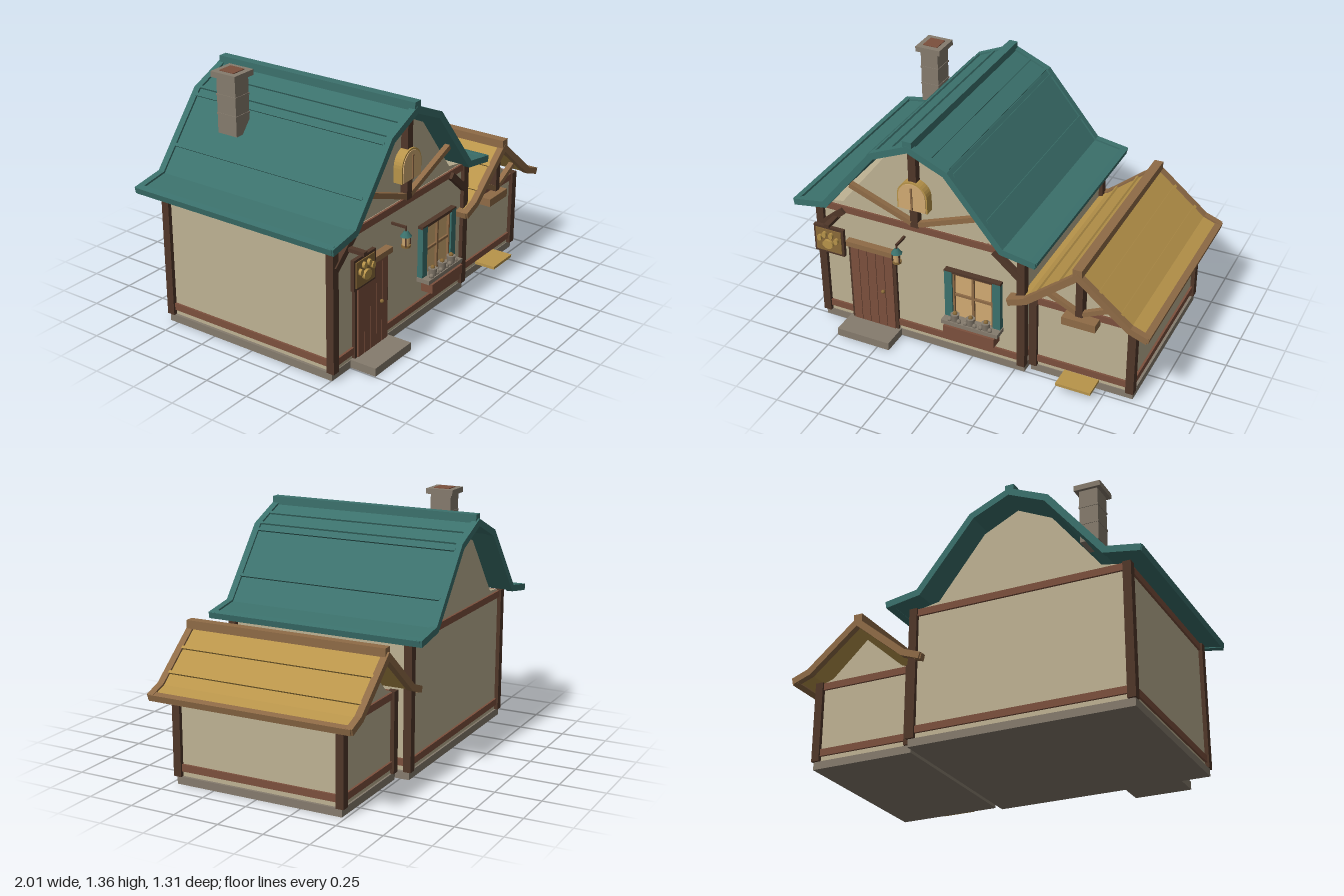
import * as THREE from 'three';

const mat = (name, color) => Object.assign(new THREE.MeshStandardMaterial({ color }), { name });
const M = {
  plaster: mat('plaster', 0xbeb293),
  dark: mat('darkTimber', 0x503729),
  red: mat('redTimber', 0x7c503d),
  tan: mat('tanTimber', 0x8f6b46),
  teal: mat('tealRoof', 0x3b716c),
  straw: mat('strawRoof', 0xb8944a),
  stone: mat('stone', 0x857b6d),
  glow: mat('windowGlow', 0xd2ab73),
  brass: mat('brass', 0x8a6a38),
};

export function createModel() {
  const root = new THREE.Group();
  root.name = 'cottage';
  const add = (name, geo, m, x = 0, y = 0, z = 0, parent = root) => {
    const mesh = new THREE.Mesh(geo, m);
    mesh.name = name;
    mesh.position.set(x, y, z);
    parent.add(mesh);
    return mesh;
  };
  // Box given by its minimum and maximum on each axis
  const box = (name, m, x0, x1, y0, y1, z0, z1) =>
    add(name, new THREE.BoxGeometry(x1 - x0, y1 - y0, z1 - z0), m, (x0 + x1) / 2, (y0 + y1) / 2, (z0 + z1) / 2);
  // Slanted timber in the xy plane
  const beam = (name, m, x0, y0, x1, y1, w, z, d) => {
    const b = add(name, new THREE.BoxGeometry(Math.hypot(x1 - x0, y1 - y0), w, d), m, (x0 + x1) / 2, (y0 + y1) / 2, z);
    b.rotation.z = Math.atan2(y1 - y0, x1 - x0);
    return b;
  };
  const prism = (name, m, pts, z0, z1) => add(name, new THREE.ExtrudeGeometry(
    new THREE.Shape(pts.map(p => new THREE.Vector2(...p))),
    { depth: z1 - z0, bevelEnabled: false }), m, 0, 0, z0);
  // Right half profile -> full profile around a centre line
  const mirror = (cx, half) => [
    ...half.map(([x, y]) => [cx - x, y]),
    ...half.filter(p => p[0] > 0).reverse().map(([x, y]) => [cx + x, y]),
  ];
  // Mitred offset of a left-to-right line, positive distance is downward
  const offset = (pts, d) => pts.map((p, i) => {
    const a = pts[Math.max(i - 1, 0)], b = pts[Math.min(i + 1, pts.length - 1)];
    const normal = (u, v) => new THREE.Vector2(v[1] - u[1], u[0] - v[0]).normalize();
    const n1 = i > 0 ? normal(a, p) : normal(p, b);
    const n2 = i < pts.length - 1 ? normal(p, b) : n1;
    const n = n1.clone().add(n2).normalize();
    const k = d / n.dot(n1);
    return [p[0] + n.x * k, p[1] + n.y * k];
  });
  const band = (name, m, pts, top, bottom, z0, z1) =>
    prism(name, m, [...offset(pts, bottom), ...offset(pts, top).reverse()], z0, z1);

  // Roof: covering, raised rake boards at both ends, eaves, ridge and battens
  function roof(name, cx, half, z0, z1, cover, trim, battens, ridge) {
    const pts = mirror(cx, half);
    band(name + 'Covering', cover, pts, 0.01, 0.03, z0 + 0.02, z1 - 0.02);
    band(name + 'FrontRake', trim, pts, 0, 0.036, z1 - 0.036, z1);
    band(name + 'BackRake', trim, pts, 0, 0.036, z0, z0 + 0.036);
    const [ex, ey] = half[0];
    for (const s of [-1, 1]) {
      const e = beam(name + 'Eave', trim, cx + s * (ex - 0.035), ey - 0.01, cx + s * ex, ey - 0.018, 0.034, 0, z1 - z0 - 0.02);
      e.position.z = (z0 + z1) / 2;
      for (const [x, y] of battens) {
        const i = half.findIndex(p => p[0] <= x);
        const [a, b] = [half[i - 1], half[i]];
        const t = beam(name + 'Batten', cover, cx + s * (x - 0.008), y, cx + s * (x + 0.008), y, 0.012, (z0 + z1) / 2, z1 - z0 - 0.06);
        t.rotation.z = -s * Math.atan2(b[1] - a[1], a[0] - b[0]);
      }
    }
    box(name + 'Ridge', trim, cx - 0.025, cx + 0.025, ridge - 0.045, ridge, z0 + 0.01, z1 - 0.002);
  }

  // Timber-framed room: plinth, walls, corner posts, sills and top beams
  function room(name, x0, x1, z0, z1, top) {
    const p = 0.022;
    box(name + 'Plinth', M.stone, x0 - 0.015, x1 + 0.015, 0, 0.042, z0 - 0.01, z1 + 0.005);
    box(name + 'Walls', M.plaster, x0, x1, 0.035, top, z0, z1);
    for (const x of [x0, x1]) for (const z of [z0, z1])
      box(name + 'Post', M.dark, x - p, x + p, 0.042, top + 0.003, z - p, z + p);
    for (const [a, b] of [[0.07, 0.108], [top - 0.038, top]])
      for (const s of [0, 1]) {
        const z = s ? z1 : z0, x = s ? x1 : x0;
        box(name + 'Rail', M.red, x0, x1, a, b, z - 0.012, z + 0.012);
        box(name + 'SideRail', M.red, x - 0.012, x + 0.012, a, b, z0, z1);
      }
  }

  // Main house
  room('house', -0.887, 0.289, -0.54, 0.498, 0.752);
  prism('houseGable', M.plaster, mirror(-0.3, [[0.587, 0.75], [0.45, 0.775], [0.19, 1.105], [0, 1.197]]), -0.54, 0.495);
  roof('houseRoof', -0.3, [[0.7, 0.775], [0.52, 0.805], [0.22, 1.172], [0, 1.268]], -0.655, 0.587,
    M.teal, M.teal, [[0.42, 0.922], [0.24, 1.143], [0.205, 1.172], [0.11, 1.213]], 1.292);

  // Annex
  room('annex', 0.341, 0.885, -0.47, 0.462, 0.478);
  prism('annexGable', M.plaster, mirror(0.613, [[0.272, 0.475], [0.2, 0.5], [0.08, 0.61], [0, 0.685]]), -0.47, 0.46);
  roof('annexRoof', 0.613, [[0.385, 0.49], [0.29, 0.525], [0, 0.765]], -0.585, 0.568,
    M.straw, M.tan, [[0.23, 0.568], [0.11, 0.667]], 0.788);

  // Gable trusses and braces
  box('houseKingPost', M.dark, -0.322, -0.278, 0.765, 1.22, 0.505, 0.545);
  box('annexKingPost', M.dark, 0.594, 0.632, 0.478, 0.715, 0.475, 0.53);
  for (const s of [-1, 1]) {
    beam('houseStrut', M.tan, -0.3 + s * 0.375, 0.92, -0.3 + s * 0.02, 0.785, 0.028, 0.53, 0.03);
    beam('annexStrut', M.tan, 0.613 + s * 0.175, 0.572, 0.613 + s * 0.018, 0.497, 0.026, 0.515, 0.03);
    beam('cornerBrace', M.dark, -0.3 + s * 0.44, 0.73, -0.3 + s * 0.585, 0.605, 0.036, 0.512, 0.03);
  }

  // Arched attic window
  const arch = (r, y0) => {
    const s = new THREE.Shape();
    s.moveTo(-r, y0);
    s.lineTo(r, y0);
    s.lineTo(r, 0);
    s.absarc(0, 0, r, 0, Math.PI);
    return s;
  };
  const ex = depth => ({ depth, bevelEnabled: false, curveSegments: 8 });
  add('atticWindowFrame', new THREE.ExtrudeGeometry(arch(0.086, -0.08), ex(0.05)), M.straw, -0.3, 0.955, 0.505);
  add('atticWindowPane', new THREE.ExtrudeGeometry(arch(0.077, -0.077), ex(0.006)), M.glow, -0.3, 0.955, 0.553);
  box('atticMullion', M.tan, -0.305, -0.295, 0.88, 1.01, 0.555, 0.565);

  // Chimney
  box('chimneyShaft', M.stone, -0.67, -0.567, 1.03, 1.34, -0.37, -0.25);
  for (const y of [1.13, 1.23]) box('chimneyBand', M.stone, -0.673, -0.564, y, y + 0.01, -0.373, -0.247);
  box('chimneyCap', M.stone, -0.692, -0.545, 1.33, 1.36, -0.388, -0.232);
  box('chimneyFlue', M.red, -0.662, -0.575, 1.355, 1.364, -0.356, -0.264);

  // Door and step
  box('doorStep', M.stone, -0.745, -0.43, 0, 0.045, 0.5, 0.652);
  box('doorFrame', M.dark, -0.725, -0.44, 0.045, 0.53, 0.495, 0.515);
  for (let i = 0; i < 5; i++) {
    const x = -0.708 + i * 0.051;
    box('doorPlank', M.red, x, x + 0.048, 0.05, 0.525, 0.5, 0.525);
  }
  box('doorLintel', M.tan, -0.727, -0.435, 0.525, 0.555, 0.49, 0.54);
  add('doorKnob', new THREE.SphereGeometry(0.011, 10, 8), M.brass, -0.517, 0.283, 0.532);

  // Front window with shutters, sill and planter
  box('windowPane', M.glow, -0.1, 0.133, 0.245, 0.53, 0.497, 0.507);
  box('windowLintel', M.dark, -0.145, 0.178, 0.528, 0.543, 0.495, 0.53);
  for (const x of [-0.097, 0.016, 0.129]) box('windowMullion', M.tan, x - 0.007, x + 0.007, 0.245, 0.53, 0.5, 0.52);
  for (const y of [0.39, 0.522]) box('windowBar', M.tan, -0.1, 0.133, y - 0.007, y + 0.007, 0.5, 0.518);
  for (const x of [-0.122, 0.155]) box('shutter', M.teal, x - 0.022, x + 0.022, 0.25, 0.535, 0.497, 0.53);
  box('windowSill', M.stone, -0.147, 0.181, 0.225, 0.248, 0.495, 0.575);
  box('planter', M.red, -0.13, 0.166, 0.17, 0.222, 0.515, 0.585);
  for (const x of [-0.075, 0.016, 0.105]) {
    add('flowerPot', new THREE.CylinderGeometry(0.025, 0.02, 0.045, 8), M.stone, x, 0.268, 0.55);
    add('potBloom', new THREE.SphereGeometry(0.013, 8, 6), M.brass, x, 0.294, 0.55);
    for (const s of [-1, 1]) add('potLeaf', new THREE.SphereGeometry(0.014, 6, 5), M.stone, x + s * 0.027, 0.255, 0.56);
  }

  // Lantern on a bracket
  const lantern = new THREE.Group();
  lantern.name = 'lantern';
  lantern.position.set(-0.388, 0, 0.585);
  root.add(lantern);
  const part = (name, g, m, y, z = 0) => add(name, g, m, 0, y, z, lantern);
  part('lanternArm', new THREE.BoxGeometry(0.012, 0.012, 0.09), M.dark, 0.655, -0.045);
  part('lanternHook', new THREE.CylinderGeometry(0.005, 0.005, 0.035, 6), M.dark, 0.645);
  part('lanternCap', new THREE.CylinderGeometry(0.01, 0.031, 0.028, 8), M.teal, 0.621);
  part('lanternGlass', new THREE.CylinderGeometry(0.022, 0.019, 0.05, 8), M.glow, 0.583);
  part('lanternBase', new THREE.CylinderGeometry(0.025, 0.025, 0.012, 8), M.brass, 0.554);
  for (const s of [-1, 1]) add('lanternBar', new THREE.BoxGeometry(0.006, 0.052, 0.006), M.dark, s * 0.02, 0.583, 0.012, lantern);

  // Hanging board with carved pad ornament
  box('boardArm', M.dark, -0.8, -0.77, 0.67, 0.69, 0.5, 0.62);
  box('boardBack', M.dark, -0.868, -0.69, 0.508, 0.672, 0.592, 0.612);
  box('boardFace', M.brass, -0.855, -0.703, 0.522, 0.658, 0.61, 0.617);
  const pad = (x, y, rx, ry) => {
    const p = add('carvedPad', new THREE.CylinderGeometry(1, 1, 0.02, 10).rotateX(Math.PI / 2), M.straw, x, y, 0.622);
    p.scale.set(rx, ry, 1);
  };
  pad(-0.779, 0.573, 0.032, 0.026);
  for (const [dx, y] of [[0.05, 0.602], [0.02, 0.628]])
    for (const s of [-1, 1]) pad(-0.779 + s * dx, y, 0.013, 0.018);

  // Annex plaque and doormat
  box('annexPlaque', M.tan, 0.522, 0.706, 0.412, 0.457, 0.465, 0.538);
  box('doormat', M.straw, 0.515, 0.71, 0.042, 0.058, 0.46, 0.583);

  return root;
}
